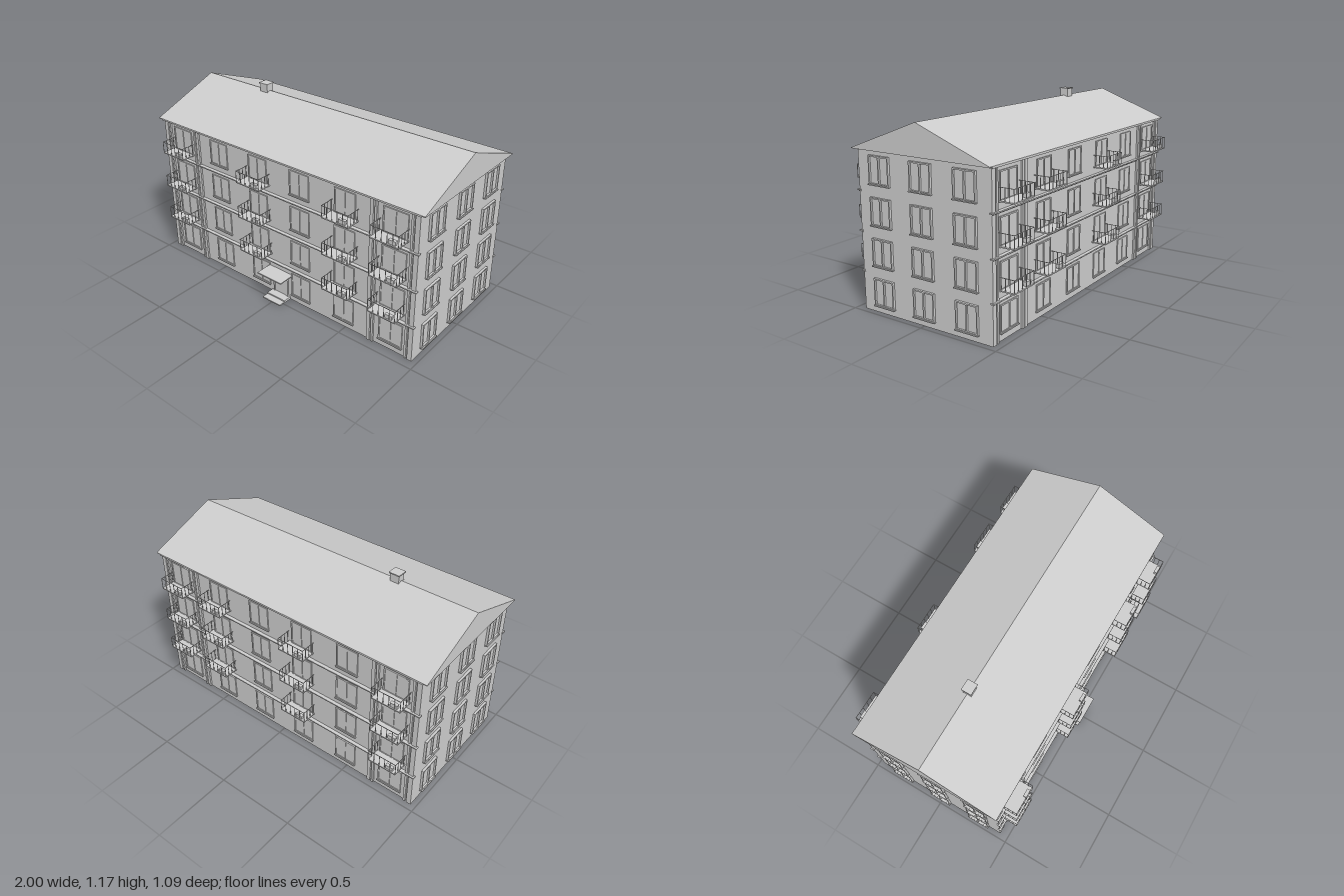
import * as THREE from 'three';

const plaster = new THREE.MeshStandardMaterial({ color: 0xcccccc });
plaster.name = 'grey plaster';

const STOREYS = 4, PITCH = 0.235;
const WALL_X = 0.967, WALL_Z = 0.443, MID_Z = -0.009, EAVE = 0.942;

// box given by its size and centre
function box(parent, name, w, h, d, x, y, z) {
  const mesh = new THREE.Mesh(new THREE.BoxGeometry(w, h, d), plaster);
  mesh.name = name;
  mesh.position.set(x, y, z);
  parent.add(mesh);
  return mesh;
}

function rectPath(PathType, w, h, cx = 0) {
  const p = new PathType();
  p.moveTo(cx - w / 2, -h / 2);
  p.lineTo(cx + w / 2, -h / 2);
  p.lineTo(cx + w / 2, h / 2);
  p.lineTo(cx - w / 2, h / 2);
  p.closePath();
  return p;
}

// two-pane window facing +z, centred on its own origin
function makeWindow(w, h, depth) {
  const g = new THREE.Group();
  g.name = 'window';
  const bar = 0.008, pane = (w - 3 * bar) / 2;
  const shape = rectPath(THREE.Shape, w, h);
  for (const s of [-1, 1]) shape.holes.push(rectPath(THREE.Path, pane, h - 2 * bar, s * (pane + bar) / 2));
  const frame = new THREE.Mesh(new THREE.ExtrudeGeometry(shape, { depth, bevelEnabled: false }), plaster);
  frame.name = 'windowFrame';
  g.add(frame);
  box(g, 'windowPane', w - bar, h - bar, 0.004, 0, 0, 0.001);
  box(g, 'windowSill', w + 0.006, 0.006, depth + 0.006, 0, -h / 2, (depth + 0.006) / 2);
  return g;
}

// balcony projecting towards +z from its own origin
function makeBalcony() {
  const g = new THREE.Group();
  g.name = 'balcony';
  const w = 0.182, d = 0.096, h = 0.077, t = 0.003;
  box(g, 'balconySlab', w, 0.007, d, 0, 0.0035, d / 2);
  box(g, 'frontRail', w, t, t, 0, h, d - t / 2);
  for (let i = 0; i < 6; i++) {
    box(g, 'frontPost', t, h, t, -w / 2 + t / 2 + (i * (w - t)) / 5, h / 2, d - t / 2);
  }
  for (const s of [-1, 1]) {
    const x = s * (w / 2 - t / 2);
    box(g, 'sideRail', t, t, d, x, h, d / 2);
    for (let i = 0; i < 3; i++) box(g, 'sidePost', t, h, t, x, h / 2, 0.012 + i * 0.028);
  }
  // planter standing behind the front rail
  box(g, 'planter', 0.044, 0.022, 0.017, 0.045, 0.02, d - 0.014);
  box(g, 'planterRim', 0.048, 0.004, 0.02, 0.045, 0.032, d - 0.014);
  return g;
}

// one long side, built facing +z with its wall plane at z = 0;
// flip is -1 for the side turned to the back
function makeFacade(flip) {
  const g = new THREE.Group();
  g.name = flip > 0 ? 'frontFacade' : 'backFacade';
  const columns = [-0.808, -0.488, -0.165, 0.158, 0.485, 0.815];
  const balconies = [-0.81, -0.161, 0.487, 0.809];
  for (let f = 0; f < STOREYS; f++) {
    const y = 0.123 + f * PITCH;
    columns.forEach((x, i) => {
      const win = makeWindow(i === 0 || i === 5 ? 0.158 : 0.144, 0.158, 0.007);
      win.position.set(x * flip, y, 0);
      g.add(win);
    });
    if (f > 0) {
      for (const x of balconies) {
        const b = makeBalcony();
        b.position.set(x * flip, y - 0.08, 0);
        g.add(b);
      }
      // moulded ledge between storeys
      box(g, 'ledge', 1.95, 0.007, 0.022, 0, f * PITCH - 0.001, 0.011);
      box(g, 'ledgeLower', 1.94, 0.006, 0.015, 0, f * PITCH - 0.007, 0.0075);
    }
  }
  box(g, 'topLedge', 1.95, 0.01, 0.022, 0, EAVE - 0.006, 0.011);
  // paired pilaster strips at the ends and beside the outer bays
  for (const s of [-1, 1]) {
    for (const [x, w] of [[0.952, 0.03], [0.921, 0.014], [0.694, 0.014], [0.668, 0.022]]) {
      box(g, 'pilaster', w, EAVE - 0.01, 0.011, s * x, (EAVE - 0.01) / 2, 0.0055);
    }
  }
  return g;
}

export function createModel() {
  const model = new THREE.Group();
  model.name = 'apartmentBlock';

  box(model, 'walls', WALL_X * 2, EAVE, WALL_Z * 2, 0, EAVE / 2, MID_Z);

  // long sides
  for (const s of [1, -1]) {
    const facade = makeFacade(s);
    facade.position.z = MID_Z + s * WALL_Z;
    if (s < 0) facade.rotation.y = Math.PI;
    model.add(facade);
  }

  // gable-end windows
  for (const s of [-1, 1]) {
    for (let f = 0; f < STOREYS; f++) {
      for (const z of [0.286, -0.006, -0.298]) {
        const win = makeWindow(0.146, 0.163, 0.014);
        win.name = 'gableWindow';
        win.position.set(s * WALL_X, 0.123 + f * PITCH, z);
        win.rotation.y = (s * Math.PI) / 2;
        model.add(win);
      }
    }
  }

  // gabled roof as a solid prism along x
  const gable = new THREE.Shape();
  gable.moveTo(-0.46, EAVE - 0.003);
  gable.lineTo(0.476, EAVE - 0.003);
  gable.lineTo(0.476, EAVE + 0.002);
  gable.lineTo(0.008, 1.12);
  gable.lineTo(-0.46, EAVE + 0.002);
  const roof = new THREE.Mesh(new THREE.ExtrudeGeometry(gable, { depth: 2, bevelEnabled: false }), plaster);
  roof.name = 'roof';
  roof.rotation.y = Math.PI / 2;
  roof.position.x = -1;
  model.add(roof);

  // chimney
  box(model, 'chimney', 0.058, 0.09, 0.052, -0.489, 1.117, -0.008);
  box(model, 'chimneyCap', 0.07, 0.007, 0.064, -0.489, 1.164, -0.008);

  // entrance: door, surround, canopy and steps
  const door = new THREE.Group();
  door.name = 'entrance';
  door.position.set(-0.003, 0, MID_Z + WALL_Z);
  box(door, 'doorLeaf', 0.1, 0.155, 0.005, 0, 0.0775, 0.0025);
  for (const s of [-1, 1]) box(door, 'doorJamb', 0.01, 0.165, 0.01, s * 0.053, 0.0825, 0.005);
  box(door, 'doorHead', 0.116, 0.01, 0.012, 0, 0.162, 0.006);
  box(door, 'canopy', 0.19, 0.007, 0.111, 0.001, 0.183, 0.0555);
  box(door, 'lowerStep', 0.142, 0.008, 0.098, 0, 0.004, 0.049);
  box(door, 'upperStep', 0.142, 0.008, 0.055, 0, 0.012, 0.0275);
  model.add(door);

  return model;
}
